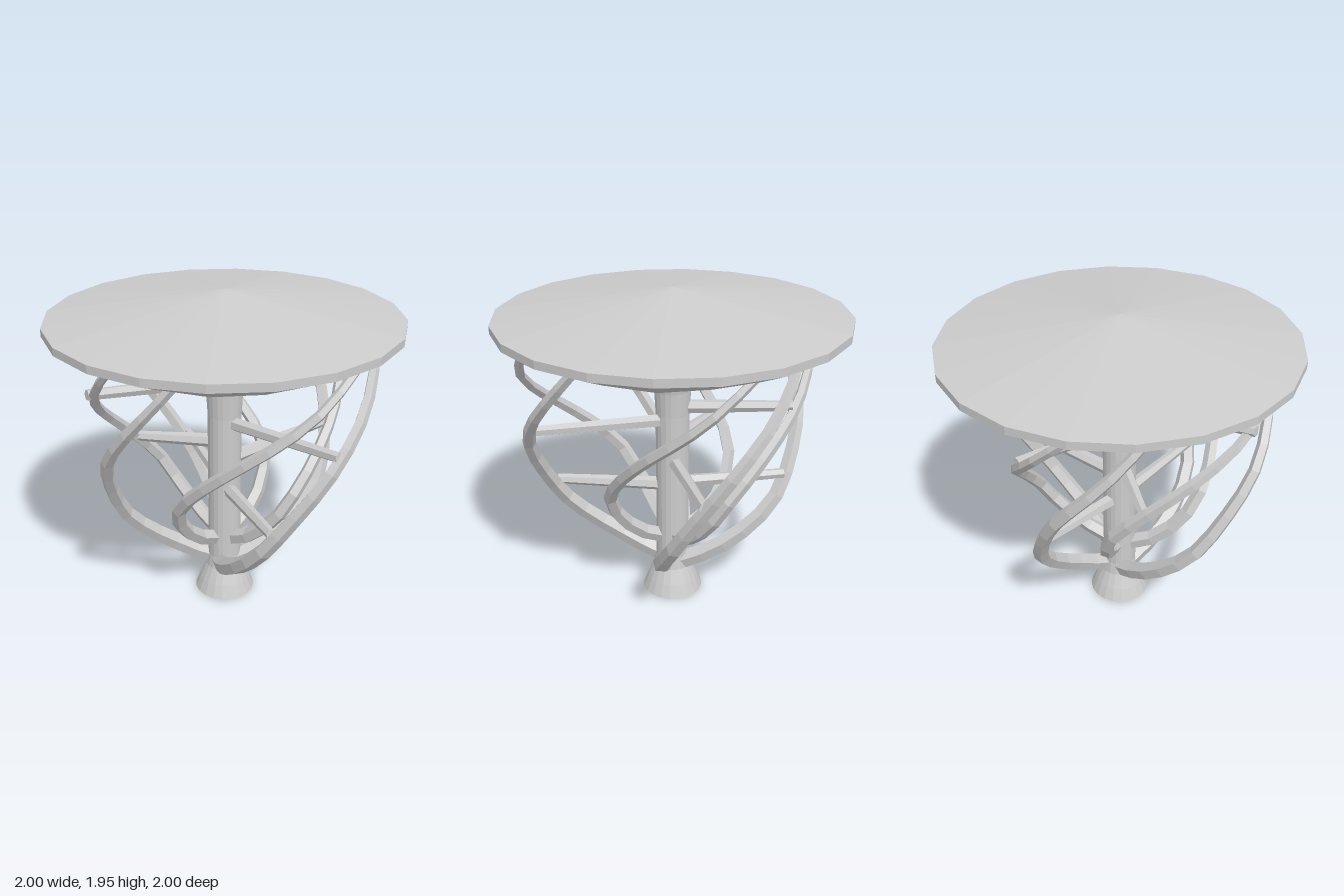
import * as THREE from 'three';

const material = new THREE.MeshStandardMaterial({ color: 0xcccccc, flatShading: true });
const V = (x, y, z) => new THREE.Vector3(x, y, z);

// Master branch paths; each is repeated at quarter turns around the trunk
const LOWER = [
  [0, 0.2, 0.06], [0.05, 0.24, 0.14], [0.14, 0.33, 0.27], [0.25, 0.44, 0.38], [0.41, 0.62, 0.48],
  [0.57, 0.85, 0.48], [0.76, 1.15, 0.39], [0.85, 1.38, 0.21], [0.86, 1.55, 0.05], [0.83, 1.72, -0.1],
];
const UPPER = [
  [-0.03, 0.38, 0.06], [-0.08, 0.45, 0.2], [-0.11, 0.62, 0.38], [-0.07, 0.8, 0.49], [0.1, 1.0, 0.57],
  [0.36, 1.22, 0.6], [0.58, 1.39, 0.55], [0.73, 1.54, 0.46], [0.84, 1.72, 0.29],
];

function add(parent, geometry, name) {
  const mesh = new THREE.Mesh(geometry, material);
  mesh.name = name;
  parent.add(mesh);
  return mesh;
}

// Tube whose radius shrinks from r0 to r1 along the path
function taperedTube(points, r0, r1, segments, sides) {
  const curve = new THREE.CatmullRomCurve3(points.map((p) => V(...p)));
  const geo = new THREE.TubeGeometry(curve, segments, 1, sides, false);
  const pos = geo.attributes.position;
  const p = V(0, 0, 0);
  for (let i = 0; i < pos.count; i++) {
    const t = Math.floor(i / (sides + 1)) / segments;
    const centre = curve.getPointAt(t);
    p.fromBufferAttribute(pos, i).sub(centre).multiplyScalar(r0 + (r1 - r0) * t).add(centre);
    pos.setXYZ(i, p.x, p.y, p.z);
  }
  geo.computeVertexNormals();
  return geo;
}

// Straight strut from the trunk to a point
function strut(parent, from, to) {
  const dir = to.clone().sub(from);
  const mesh = add(parent, new THREE.CylinderGeometry(0.03, 0.042, dir.length(), 6), 'strut');
  mesh.position.copy(from).addScaledVector(dir, 0.5);
  mesh.quaternion.setFromUnitVectors(V(0, 1, 0), dir.normalize());
}

export function createModel() {
  const group = new THREE.Group();

  // Trunk with flared foot and head
  const trunk = [
    [0, 0], [0.185, 0], [0.155, 0.08], [0.115, 0.17], [0.102, 0.25], [0.1, 0.6], [0.1, 1.2],
    [0.108, 1.35], [0.135, 1.5], [0.165, 1.6], [0.2, 1.68],
  ].map((p) => new THREE.Vector2(...p));
  add(group, new THREE.LatheGeometry(trunk, 20), 'trunk');

  // Canopy: shallow cone on top, thin rim, rippled underside
  const canopy = [
    [0, 1.645], [0.22, 1.645], [0.4, 1.645], [0.6, 1.65], [0.84, 1.67], [1, 1.75], [1, 1.795], [0, 1.945],
  ].map((p) => new THREE.Vector2(...p));
  const canopyGeo = new THREE.LatheGeometry(canopy, 20);
  const pos = canopyGeo.attributes.position;
  for (let i = 0; i < pos.count; i++) {
    const ring = i % canopy.length;
    if (ring < 2 || ring > 4) continue;
    const angle = Math.atan2(pos.getX(i), pos.getZ(i));
    pos.setY(i, pos.getY(i) + 0.007 * Math.sin(angle * 7 + ring * 2));
  }
  add(group, canopyGeo, 'canopy');

  // Two sets of spiralling branches, four of each
  const spread = [1.0, 0.95, 0.98, 0.95];
  const lowerGeo = taperedTube(LOWER, 0.06, 0.027, 14, 5);
  const upperGeo = taperedTube(UPPER, 0.05, 0.024, 13, 5);
  spread.forEach((s, k) => {
    for (const [geo, name] of [[lowerGeo, 'lowerBranch'], [upperGeo, 'upperBranch']]) {
      const branch = add(group, geo, name);
      branch.rotation.y = k * Math.PI / 2;
      branch.scale.set(s, 1, s);
    }
  });

  // Struts linking trunk and branches: end x, y, z and height at the trunk
  const struts = [
    [-0.5, 1.5, 0.67, 1.42], [0.79, 1.24, 0.36, 1.16], [-0.38, 1.28, -0.58, 1.24], [-0.56, 1.0, 0.1, 1.02],
    [0.45, 0.98, -0.61, 0.9], [-0.47, 0.78, -0.49, 0.74], [0.48, 0.78, 0.5, 0.73],
  ];
  for (const [x, y, z, y0] of struts) {
    const k = 0.06 / Math.hypot(x, z);
    strut(group, V(x * k, y0, z * k), V(x, y, z));
  }
  return group;
}
